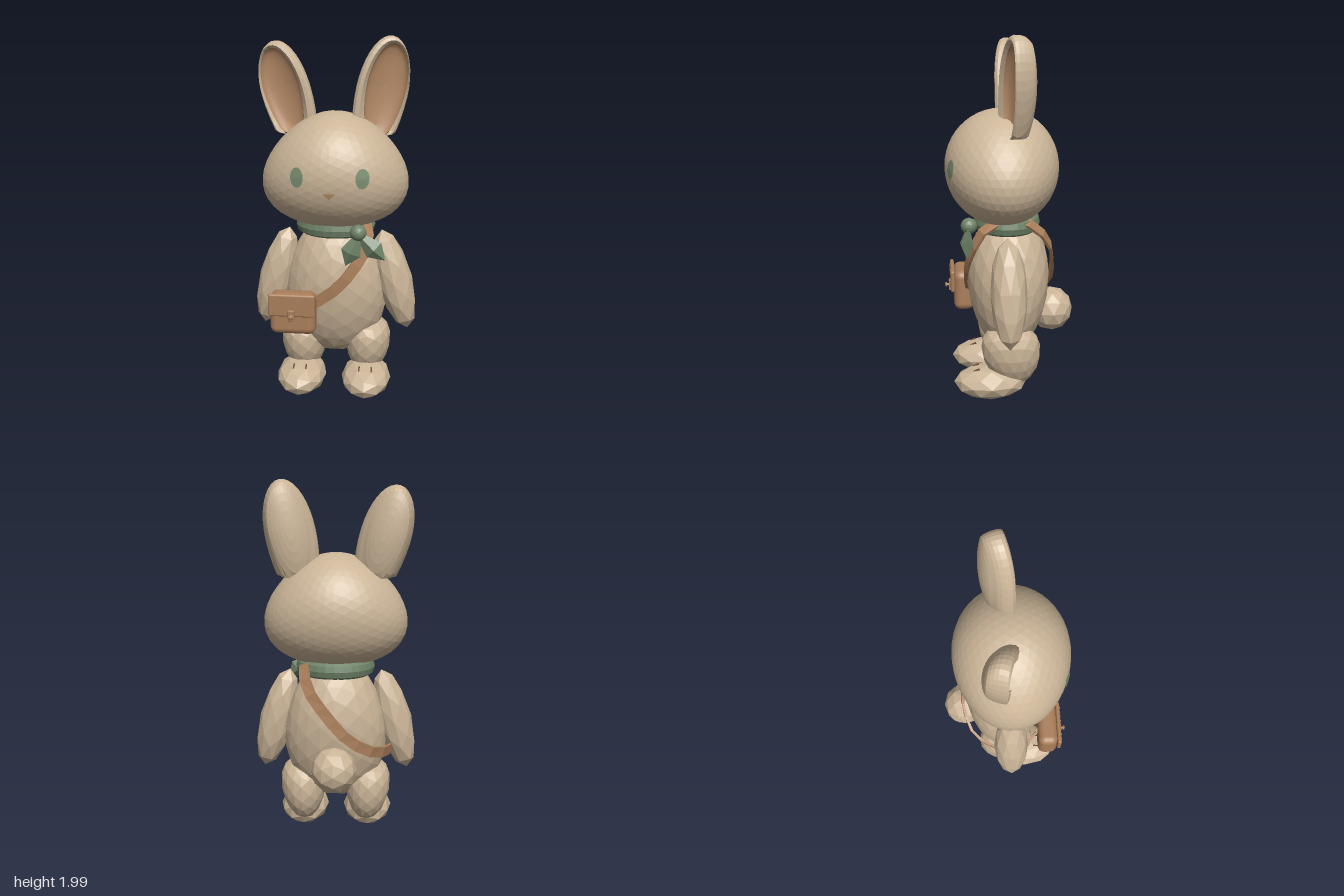
import * as THREE from 'three';
import { RoundedBoxGeometry } from 'three/addons/geometries/RoundedBoxGeometry.js';

const material = (name, color, flatShading = true) => {
  const m = new THREE.MeshStandardMaterial({ color, flatShading });
  m.name = name;
  return m;
};
const clamp = THREE.MathUtils.clamp;
const V = (x, y, z) => new THREE.Vector3(x, y, z);

// Apply a rule to every vertex of a geometry
function deform(geometry, rule) {
  const p = geometry.attributes.position, v = V(0, 0, 0);
  for (let i = 0; i < p.count; i++) {
    rule(v.fromBufferAttribute(p, i));
    p.setXYZ(i, v.x, v.y, v.z);
  }
  geometry.computeVertexNormals();
  return geometry;
}

// Head: a ball that widens towards the cheeks
const HEAD = { y: 1.29, z: 0.045, r: 0.32 };
const cheek = (ny) => clamp(1.225 - 0.27 * ny, 0.98, 1.42);
function headZ(x, y) {
  const ny = (y - HEAD.y) / HEAD.r, nx = x / (HEAD.r * cheek(ny));
  return HEAD.z + 0.317 * Math.sqrt(Math.max(0, 1 - nx * nx - ny * ny));
}

// Body: an egg, wider at the belly
const BODY = { c: V(0, 0.62, 0.01), r: V(0.29, 0.41, 0.23) };

// Flat strap swept along a closed path that lies on the body
function strapGeometry(points, width, thick, steps) {
  const curve = new THREE.CatmullRomCurve3(points, true);
  const pos = [], index = [];
  for (let i = 0; i < steps; i++) {
    const p = curve.getPointAt(i / steps), t = curve.getTangentAt(i / steps);
    const n = p.clone().sub(BODY.c).divide(BODY.r).divide(BODY.r);
    n.addScaledVector(t, -n.dot(t)).normalize();
    const side = t.clone().cross(n);
    for (const [a, b] of [[-1, -1], [1, -1], [1, 1], [-1, 1]]) {
      const q = p.clone().addScaledVector(side, a * width / 2).addScaledVector(n, b * thick / 2);
      pos.push(q.x, q.y, q.z);
    }
    const j = (i + 1) % steps;
    for (let k = 0; k < 4; k++) {
      const l = (k + 1) % 4;
      const a = i * 4 + k, b = i * 4 + l, c = j * 4 + l, d = j * 4 + k;
      index.push(a, c, b, a, d, c);
    }
  }
  const g = new THREE.BufferGeometry();
  g.setAttribute('position', new THREE.Float32BufferAttribute(pos, 3));
  g.setIndex(index);
  const flat = g.toNonIndexed();
  flat.computeVertexNormals();
  return flat;
}

export function createModel() {
  const root = new THREE.Group();
  root.name = 'rabbit';
  const fur = material('fur', 0xcbb598);
  const earInside = material('earInside', 0xb58a66, false);
  const leather = material('leather', 0xaa7e5a, false);
  const cloth = material('scarfGreen', 0x6e8267);
  const eyeGreen = material('eyeGreen', 0x788c6e);
  const dark = material('darkBrown', 0x6e4a36);

  function add(name, geometry, mat, pos = [0, 0, 0], rot = [0, 0, 0], parent = root) {
    const m = new THREE.Mesh(geometry, mat);
    m.name = name;
    m.position.set(...pos);
    m.rotation.set(...rot);
    parent.add(m);
    return m;
  }
  // Faceted ball with radii r; rule reshapes the unit ball first
  function blob(name, r, pos, detail, rot, rule = () => {}) {
    const g = deform(new THREE.IcosahedronGeometry(1, detail), (v) => {
      rule(v);
      v.multiply(V(...r));
    });
    return add(name, g, fur, pos, rot);
  }

  blob('head', [HEAD.r, HEAD.r, 0.315], [0, HEAD.y, HEAD.z], 7, undefined, (v) => { v.x *= cheek(v.y); });
  blob('body', BODY.r.toArray(), BODY.c.toArray(), 3, undefined, (v) => {
    v.x *= 1 - 0.1 * v.y;
    v.z *= 1 + 0.12 * v.y;
  });
  blob('tail', [0.127, 0.127, 0.125], [0, 0.45, -0.238], 1);

  for (const s of [-1, 1]) {
    const side = s > 0 ? 'left' : 'right';
    blob(side + 'Arm', [0.1, 0.3, 0.1], [s * 0.335, 0.662, 0.035], 1, [0, 0, s * 0.26]);
    // Leg: broad, flat-topped thigh narrowing to the ankle
    blob(side + 'Leg', [0.127, 0.19, 0.163], [s * 0.186, 0.255, 0.008], 2, undefined, (v) => {
      const w = 1 + 0.15 * v.y;
      v.x = v.x * w + s * 0.07 * v.y;
      v.z = v.z * w + 0.1 * v.y;
      if (v.y > 0) v.y = 0.9 * Math.pow(v.y, 0.75);
    });
    // Foot with a flattened sole and a lower toe
    blob(side + 'Foot', [0.14, 0.098, 0.205], [s * 0.185, 0.1, 0.125], 1, undefined, (v) => {
      v.y = Math.max(v.y, -0.95);
      if (v.y > 0) v.y *= 0.96 - 0.12 * v.z;
    });
    for (const d of [-0.035, 0.035]) {
      add(side + 'ToeMark', new THREE.BoxGeometry(0.008, 0.014, 0.036), dark,
        [s * 0.185 + d, 0.174, 0.205], [0.4, 0, 0]);
    }
    // Eye following the curve of the head
    add(side + 'Eye', deform(new THREE.CircleGeometry(1, 20), (v) => {
      v.x = v.x * 0.035 + s * 0.17;
      v.y = v.y * 0.052 + 1.305;
      v.z = headZ(v.x, v.y) + 0.004;
    }), eyeGreen);
  }
  add('nose', deform(new THREE.CircleGeometry(1, 3, -Math.PI / 2), (v) => {
    v.x *= 0.04;
    v.y = 1.217 + v.y * 0.021;
    v.z = headZ(v.x, v.y) + 0.005;
  }), earInside);

  // Ears: hollow half shells, cut flat where they enter the head
  const arc = (r, depth, n, back) => Array.from({ length: n + 1 }, (_, i) => {
    const a = (back ? n - i : i) / n * Math.PI / 2;
    return new THREE.Vector2(r * Math.cos(a), -depth * Math.pow(Math.sin(a), 0.85));
  });
  const P = (x, y) => new THREE.Vector2(x, y);
  const shell = [...arc(1, 0.125, 9, true), P(0.96, 0.016), P(0.87, 0.022), P(0.77, 0.004)];
  const hollow = arc(0.77, 0.05, 6, false).map((p) => P(p.x, p.y + 0.004));
  for (const [name, s, x, y, half, tilt, twist] of [
    ['leftEar', 1, 0.245, 1.706, 0.3, -0.21, 0.26],
    ['rightEar', -1, -0.269, 1.695, 0.285, 0.29, -0.26],
  ]) {
    const group = new THREE.Group();
    group.name = name;
    root.add(group);
    const place = new THREE.Matrix4().makeRotationFromEuler(new THREE.Euler(0, twist, tilt, 'ZYX')).setPosition(x, y, 0.02);
    for (const [part, profile, mat, cut] of [['Shell', shell, fur, 1.48], ['Inside', hollow, earInside, 1.484]]) {
      const g = new THREE.LatheGeometry(profile, 36).rotateX(Math.PI / 2);
      deform(g, (v) => {
        // the opening sits towards the outer edge and the tip
        const shift = Math.min(1 - Math.hypot(v.x, v.y), 0.23);
        v.z -= 0.02 * v.y * Math.abs(v.y);
        v.x = (v.x + s * 0.55 * shift) * 0.14;
        v.y = (v.y + 0.5 * shift) * half * (v.y < 0 ? 1.3 : 1);
        v.applyMatrix4(place);
        v.y = Math.max(v.y, cut);
      });
      add(name + part, g, mat, undefined, undefined, group);
    }
  }

  // Scarf: ring, knot and two pointed ends
  const ring = new THREE.TorusGeometry(0.187, 0.03, 8, 28).rotateX(Math.PI / 2).scale(1.02, 1.5, 0.86);
  add('scarfRing', ring, cloth, [0, 0.98, 0.018]);
  const knot = new THREE.IcosahedronGeometry(0.045, 2);
  add('scarfKnot', knot, cloth, [0.143, 0.99, 0.235]);
  for (const [angle, len] of [[-0.38, 0.185], [0.82, 0.198]]) {
    const end = new THREE.LatheGeometry([P(0, -len), P(0.056, -len * 0.58), P(0.016, 0)], 4).scale(1, 1, 0.6);
    add('scarfEnd', end, cloth, [0.145, 0.98, 0.24], [-0.1, 0, angle]);
  }

  // Shoulder strap around the body
  const path = [
    [-0.22, 0.51, 0.2], [-0.08, 0.59, 0.24], [0.04, 0.685, 0.253], [0.13, 0.8, 0.237], [0.185, 0.9, 0.203],
    [0.19, 0.985, 0.145], [0.155, 1.025, 0], [0.17, 0.985, -0.12], [0.14, 0.89, -0.2], [0.045, 0.76, -0.235],
    [-0.08, 0.62, -0.238], [-0.22, 0.535, -0.185], [-0.305, 0.51, -0.06], [-0.31, 0.5, 0.08],
  ].map((p) => V(...p));
  add('strap', strapGeometry(path, 0.06, 0.016, 22), leather);

  // Satchel with flap, clasp and stitches
  const bag = new THREE.Group();
  bag.name = 'satchel';
  bag.position.set(-0.208, 0, 0);
  root.add(bag);
  const box = (name, w, h, d, r, pos) =>
    add(name, new RoundedBoxGeometry(w, h, d, 3, r), leather, pos, undefined, bag);
  box('satchelBody', 0.25, 0.235, 0.115, 0.04, [0, 0.533, 0.258]);
  box('satchelFlap', 0.256, 0.128, 0.024, 0.011, [0, 0.595, 0.323]);
  box('claspPlate', 0.036, 0.066, 0.014, 0.005, [0, 0.54, 0.338]);
  const pin = new THREE.CylinderGeometry(0.009, 0.009, 0.025, 12).rotateX(Math.PI / 2);
  add('claspPin', pin, leather, [0, 0.54, 0.35], undefined, bag);
  const knob = new THREE.SphereGeometry(0.015, 12, 8).scale(1, 1, 0.5);
  add('claspKnob', knob, leather, [0, 0.54, 0.361], undefined, bag);
  for (let i = 0; i < 8; i++) {
    add('stitch', new THREE.BoxGeometry(0.011, 0.004, 0.005), leather, [-0.0945 + i * 0.027, 0.637, 0.336], undefined, bag);
  }
  return root;
}
